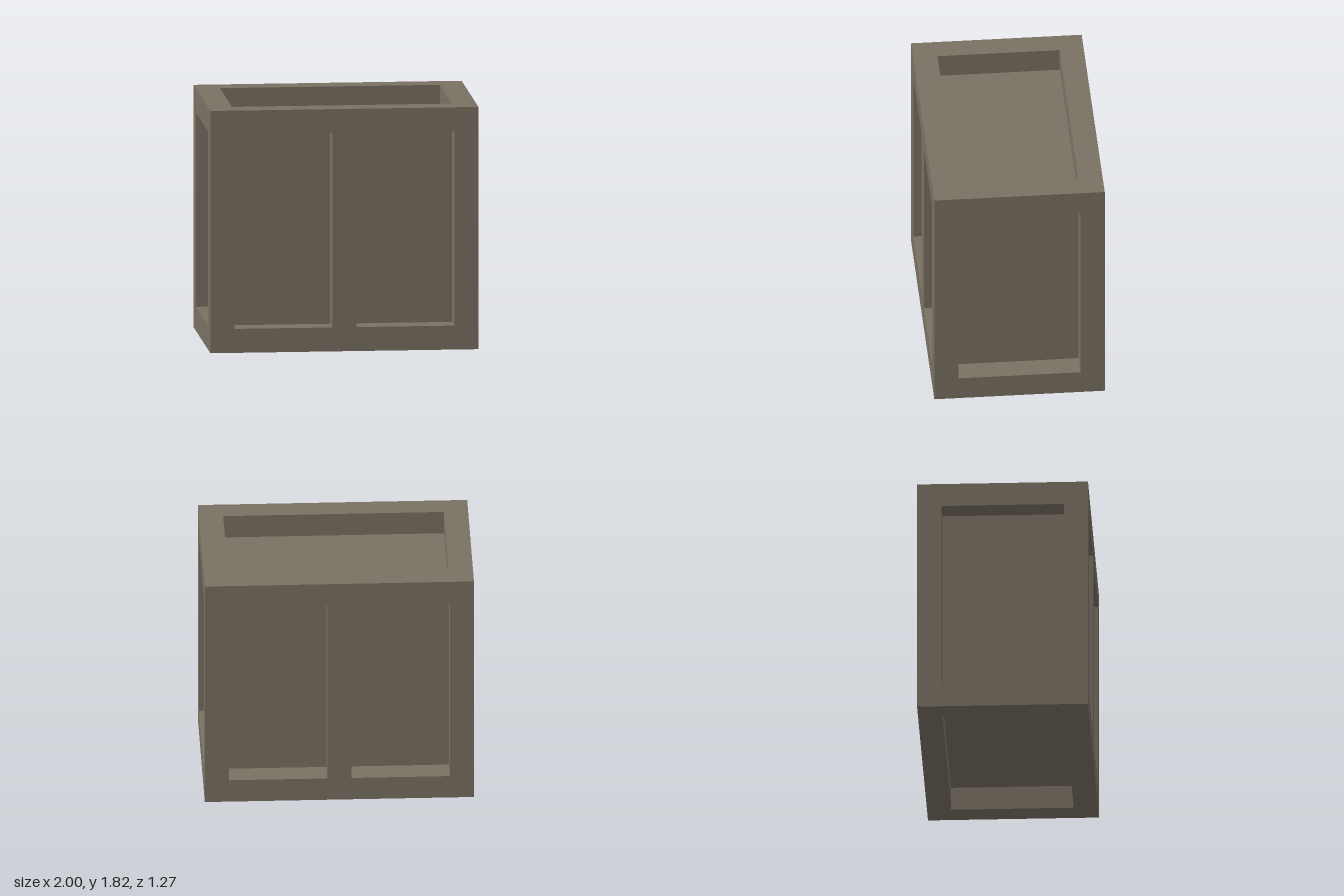
import * as THREE from 'three';

// Overall size and square frame bar thickness
const W = 2, H = 1.82, D = 1.27, T = 0.18;

export function createModel() {
  const model = new THREE.Group();
  model.name = 'crate';
  const wood = new THREE.MeshStandardMaterial({ color: 0x7a7163 });
  wood.name = 'weathered wood';

  const addBox = (name, w, h, d, x, y, z) => {
    const mesh = new THREE.Mesh(new THREE.BoxGeometry(w, h, d), wood);
    mesh.name = name;
    mesh.position.set(x, y, z);
    model.add(mesh);
  };

  // Inner core: its six faces are the recessed panels
  const w = W - 2 * T, h = H - 2 * T, d = D - 2 * T;
  addBox('recessedPanels', w, h, d, 0, H / 2, 0);

  const ex = (W - T) / 2, ey = (H - T) / 2, ez = (D - T) / 2;
  for (const a of [-1, 1]) {
    for (const b of [-1, 1]) {
      // Long rails, corner posts and end rails butt together without overlap
      addBox('longRail', W, T, T, 0, H / 2 + a * ey, b * ez);
      addBox('cornerPost', T, h, T, a * ex, H / 2, b * ez);
      addBox('endRail', T, T, d, a * ex, H / 2 + b * ey, 0);
    }
    // Middle stile dividing the front and back panels
    addBox(a > 0 ? 'frontStile' : 'backStile', T, h, T, 0, H / 2, a * ez);
  }
  return model;
}
